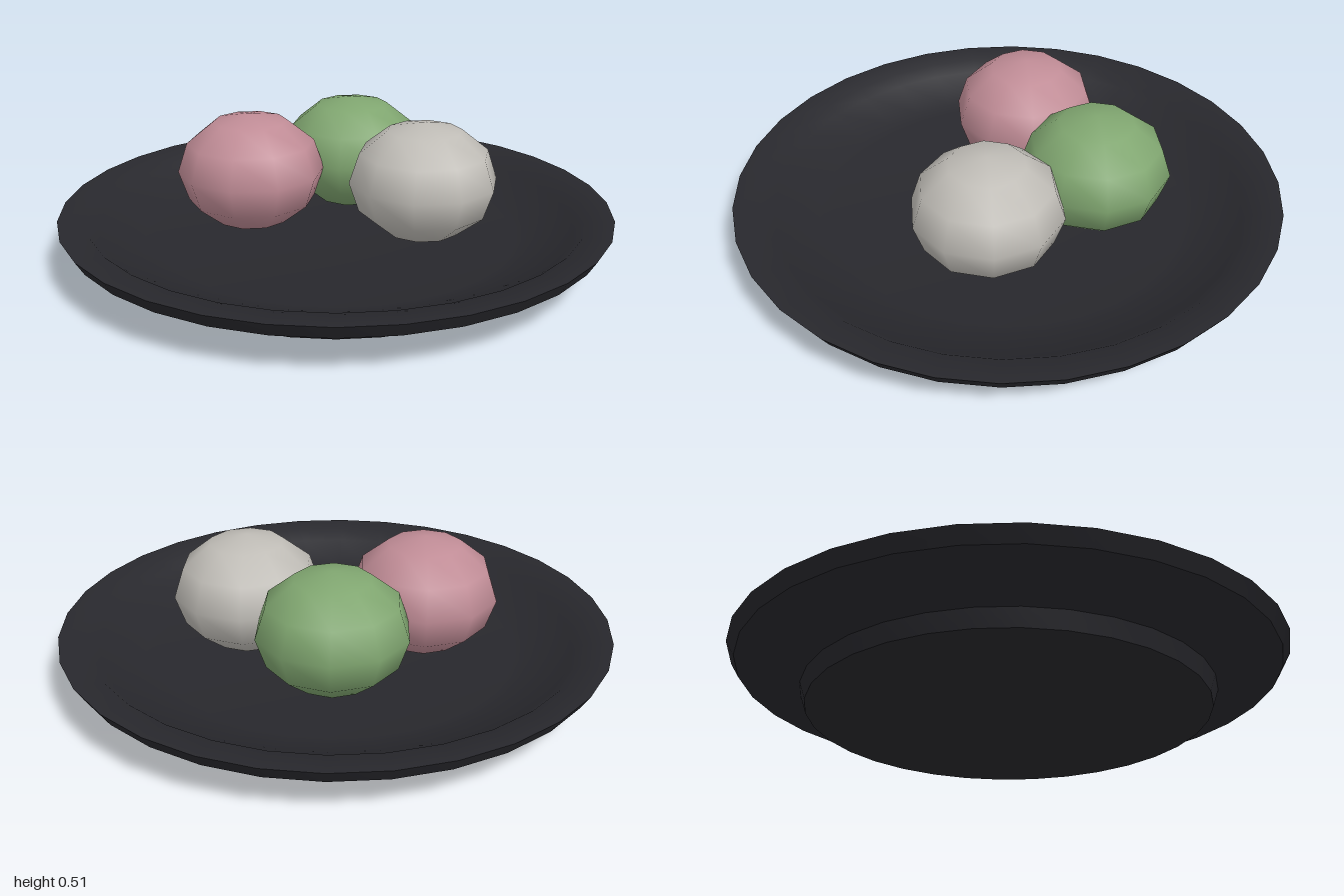
import * as THREE from 'three';
import { toCreasedNormals } from 'three/addons/utils/BufferGeometryUtils.js';

const material = (color) => new THREE.MeshStandardMaterial({ color });

export function createModel() {
  const group = new THREE.Group();

  // Shallow plate: foot, flared underside, rim, then the inner dish
  const profile = [
    [0, 0], [0.72, 0], [0.74, 0.06], [0.97, 0.135], [1, 0.185],
    [0.9, 0.18], [0.86, 0.145], [0.7, 0.09], [0.66, 0.08], [0, 0.08],
  ].map(([r, y]) => new THREE.Vector2(r, y));
  const plate = new THREE.Mesh(
    toCreasedNormals(new THREE.LatheGeometry(profile, 32), 0.7),
    material(0x28282d),
  );
  plate.name = 'plate';
  group.add(plate);

  // Three flattened dumplings resting on the dish
  const ball = new THREE.SphereGeometry(0.27, 10, 6, Math.PI / 2);
  const dumplings = [
    ['pinkDumpling', 0xc08c96, -0.32, 0],
    ['greenDumpling', 0x80a670, 0, -0.32],
    ['whiteDumpling', 0xbfbcb6, 0.32, 0],
  ];
  for (const [name, color, x, z] of dumplings) {
    const dumpling = new THREE.Mesh(ball, material(color));
    dumpling.name = name;
    dumpling.scale.y = 0.8;
    dumpling.position.set(x, 0.294, z);
    group.add(dumpling);
  }
  return group;
}
